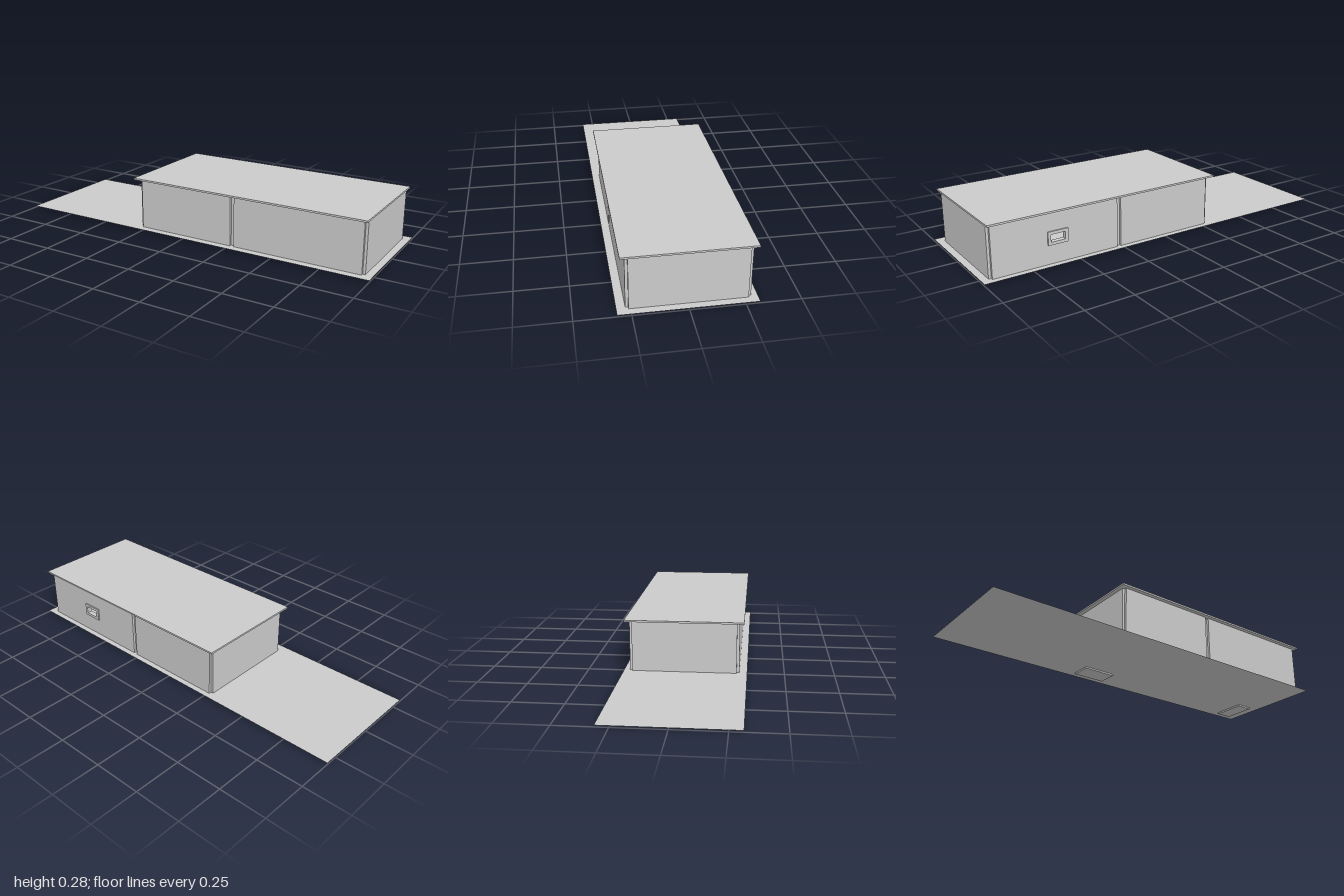
import * as THREE from 'three';

export function createModel() {
  const model = new THREE.Group();
  const material = new THREE.MeshStandardMaterial({ color: 0xcccccc, flatShading: true, side: THREE.DoubleSide });

  function add(name, geometry) {
    const mesh = new THREE.Mesh(geometry, material);
    mesh.name = name;
    model.add(mesh);
    return mesh;
  }
  // box given by its limits on each axis
  function box(name, x0, x1, y0, y1, z0, z1) {
    add(name, new THREE.BoxGeometry(x1 - x0, y1 - y0, z1 - z0))
      .position.set((x0 + x1) / 2, (y0 + y1) / 2, (z0 + z1) / 2);
  }
  // upright panel facing z, with a rectangular opening
  function panelWithHole(name, [x0, x1, y0, y1], [a0, a1, b0, b1], z0, z1) {
    const shape = new THREE.Shape([[x0, y0], [x1, y0], [x1, y1], [x0, y1]].map(p => new THREE.Vector2(...p)));
    shape.holes.push(new THREE.Path([[a0, b0], [a0, b1], [a1, b1], [a1, b0]].map(p => new THREE.Vector2(...p))));
    const geometry = new THREE.ExtrudeGeometry(shape, { depth: z1 - z0, bevelEnabled: false });
    add(name, geometry.translate(0, 0, z0));
  }

  const floor = 0.008, top = 0.268;
  const left = 0.95, right = -0.265, front = 0.26, back = -0.27, wall = 0.013;
  const split = [0.265, 0.285];

  // ground sheet
  const ground = add('ground', new THREE.PlaneGeometry(2, 0.626));
  ground.rotation.x = -Math.PI / 2;
  ground.position.y = floor;

  // roof slab with overhang
  box('roof', -0.3, 0.97, top, 0.277, -0.305, 0.295);

  // front and back panels, leaving a slot at the partition and notched corners
  box('frontWallRight', right, split[0], floor, top, front, front + wall);
  box('frontWallLeft', split[1], left, floor, top, front, front + wall);
  box('backWallRight', right, split[0], floor, top, back - wall, back);

  // back panel with window
  const hole = [0.577, 0.653, 0.119, 0.157];
  panelWithHole('backWallLeft', [split[1], left, floor, top], hole, back - wall, back);
  panelWithHole('windowFrame', [0.562, 0.668, 0.104, 0.172], hole, -0.29, -0.263);

  // end walls and inner partition
  box('endWallLeft', left, left + wall, floor, top, back, front);
  box('endWallRight', right - wall, right, floor, top, back, front);
  box('partition', split[0], split[1], floor, top, back, front);

  // low blocks passing through the ground sheet
  box('baseBlockRight', -0.203, -0.027, 0, 0.012, -0.27, -0.165);
  box('baseBlockLeft', 0.85, 0.94, 0, 0.012, -0.27, -0.09);

  return model;
}
